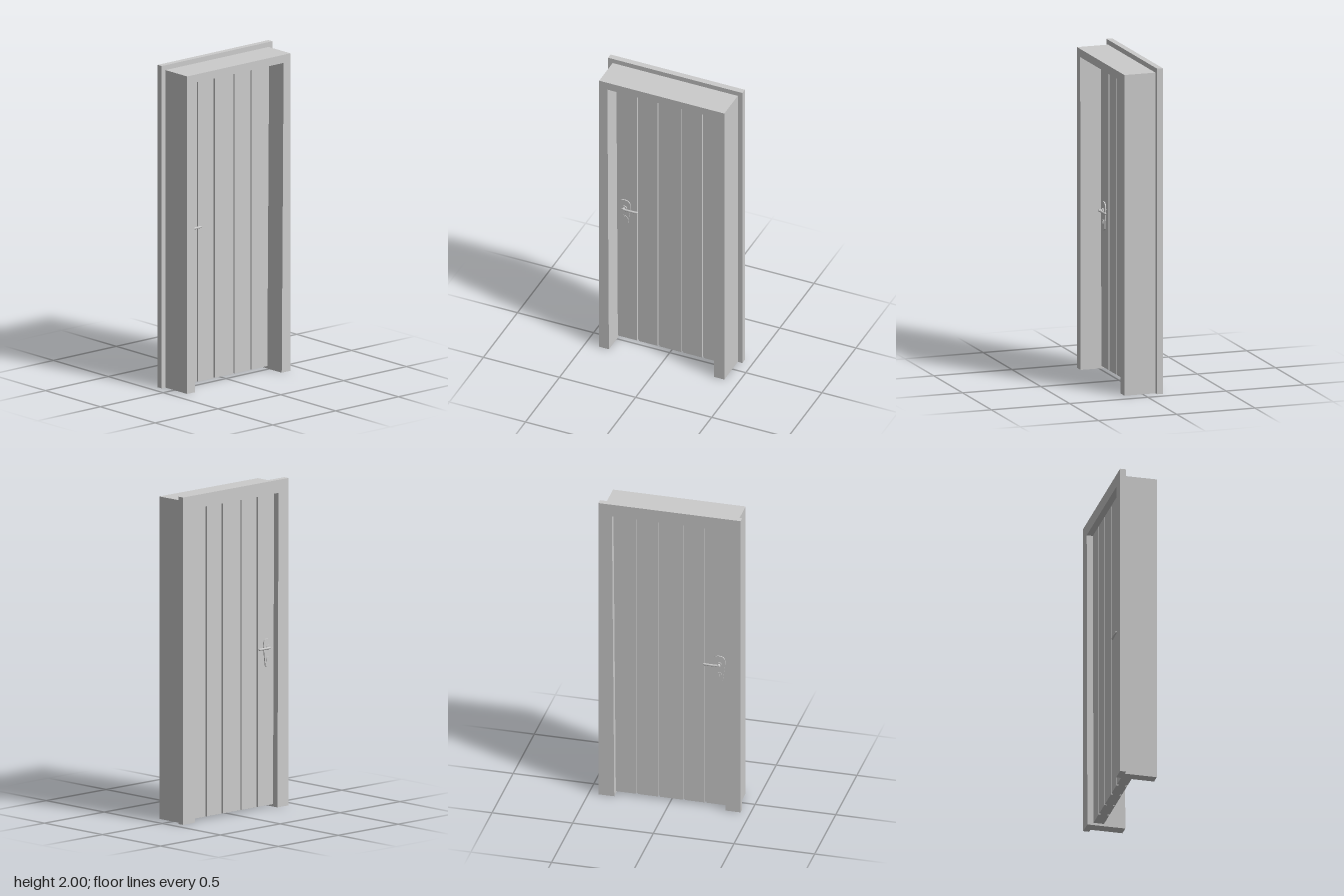
import * as THREE from 'three';

const material = new THREE.MeshStandardMaterial({ color: 0xcccccc });

function add(parent, name, geometry, x = 0, y = 0, z = 0) {
  const mesh = new THREE.Mesh(geometry, material);
  mesh.name = name;
  mesh.position.set(x, y, z);
  parent.add(mesh);
  return mesh;
}

// Extrudes a (z, y) outline across x, from x0 to x1
function slab(parent, name, shape, x0, x1) {
  const geometry = new THREE.ExtrudeGeometry(shape, {
    depth: x1 - x0, bevelEnabled: false, curveSegments: 8,
  });
  geometry.rotateY(-Math.PI / 2);
  return add(parent, name, geometry, x1);
}

// Upside-down U whose opening widens slightly toward the top
function archShape(halfWidth, height) {
  return new THREE.Shape([
    [-halfWidth, 0], [-0.342, 0], [-0.357, 1.92], [0.357, 1.92],
    [0.347, 0], [halfWidth, 0], [halfWidth, height], [-halfWidth, height],
  ].map(([z, y]) => new THREE.Vector2(z, y)));
}

// Tapered backplate, lever and lock cylinder; side is +1 or -1 along x
function createHandle(side, faceX) {
  const handle = new THREE.Group();
  handle.name = side > 0 ? 'handleInner' : 'handleOuter';
  const z = 0.3, leverY = 0.98, lockY = 0.908;

  const outline = new THREE.Shape();
  outline.moveTo(z - 0.022, 0.87);
  outline.quadraticCurveTo(z, 0.845, z + 0.022, 0.87);
  outline.lineTo(z + 0.037, 0.985);
  outline.quadraticCurveTo(z + 0.039, 1.02, z + 0.024, 1.03);
  outline.quadraticCurveTo(z, 1.042, z - 0.024, 1.03);
  outline.quadraticCurveTo(z - 0.039, 1.02, z - 0.037, 0.985);
  const outer = faceX + side * 0.007;
  slab(handle, 'backplate', outline, Math.min(faceX, outer), Math.max(faceX, outer));

  const disc = (name, radius, length, y) =>
    add(handle, name, new THREE.CylinderGeometry(radius, radius, length, 16).rotateZ(Math.PI / 2),
      faceX + side * length / 2, y, z);
  disc('leverCollar', 0.016, 0.014, leverY);
  disc('lockCylinder', 0.019, 0.011, lockY);
  disc('spindle', 0.008, 0.034, leverY);
  add(handle, 'keySlot', new THREE.BoxGeometry(0.003, 0.016, 0.004),
    faceX + side * 0.0115, lockY, z);

  const path = new THREE.CatmullRomCurve3([
    [0.027, z + 0.006], [0.028, z - 0.02], [0.028, z - 0.06], [0.026, z - 0.09],
  ].map(([out, pz]) => new THREE.Vector3(faceX + side * out, leverY, pz)));
  add(handle, 'lever', new THREE.TubeGeometry(path, 12, 0.007, 8));
  // Rounded lever ends
  for (const t of [0, 1]) {
    const p = path.getPoint(t);
    add(handle, 'leverEnd', new THREE.SphereGeometry(0.007, 8, 6), p.x, p.y, p.z);
  }
  return handle;
}

export function createModel() {
  const model = new THREE.Group();
  model.name = 'door';

  // Deep jamb and the wider trim on its outer face
  slab(model, 'jamb', archShape(0.411, 1.97), -0.081, 0.117);
  slab(model, 'trim', archShape(0.441, 2), -0.118, -0.081);

  // Door leaf: planks over a thinner core, leaving grooves on both faces
  const leaf = new THREE.Group();
  leaf.name = 'leaf';
  model.add(leaf);
  const backX = -0.08, frontX = -0.015, midX = (backX + frontX) / 2;
  const bottom = 0.015, height = 1.91, midY = bottom + height / 2;
  add(leaf, 'core', new THREE.BoxGeometry(0.041, height, 0.72), midX, midY);
  const grooves = [-0.212, -0.076, 0.08, 0.214];
  const edges = [-0.365, ...grooves, 0.365];
  const gap = 0.012;
  for (let i = 0; i < edges.length - 1; i++) {
    const z0 = edges[i] + gap / 2, z1 = edges[i + 1] - gap / 2;
    add(leaf, 'plank', new THREE.BoxGeometry(frontX - backX, height, z1 - z0),
      midX, midY, (z0 + z1) / 2);
  }

  model.add(createHandle(1, frontX), createHandle(-1, backX));
  return model;
}
